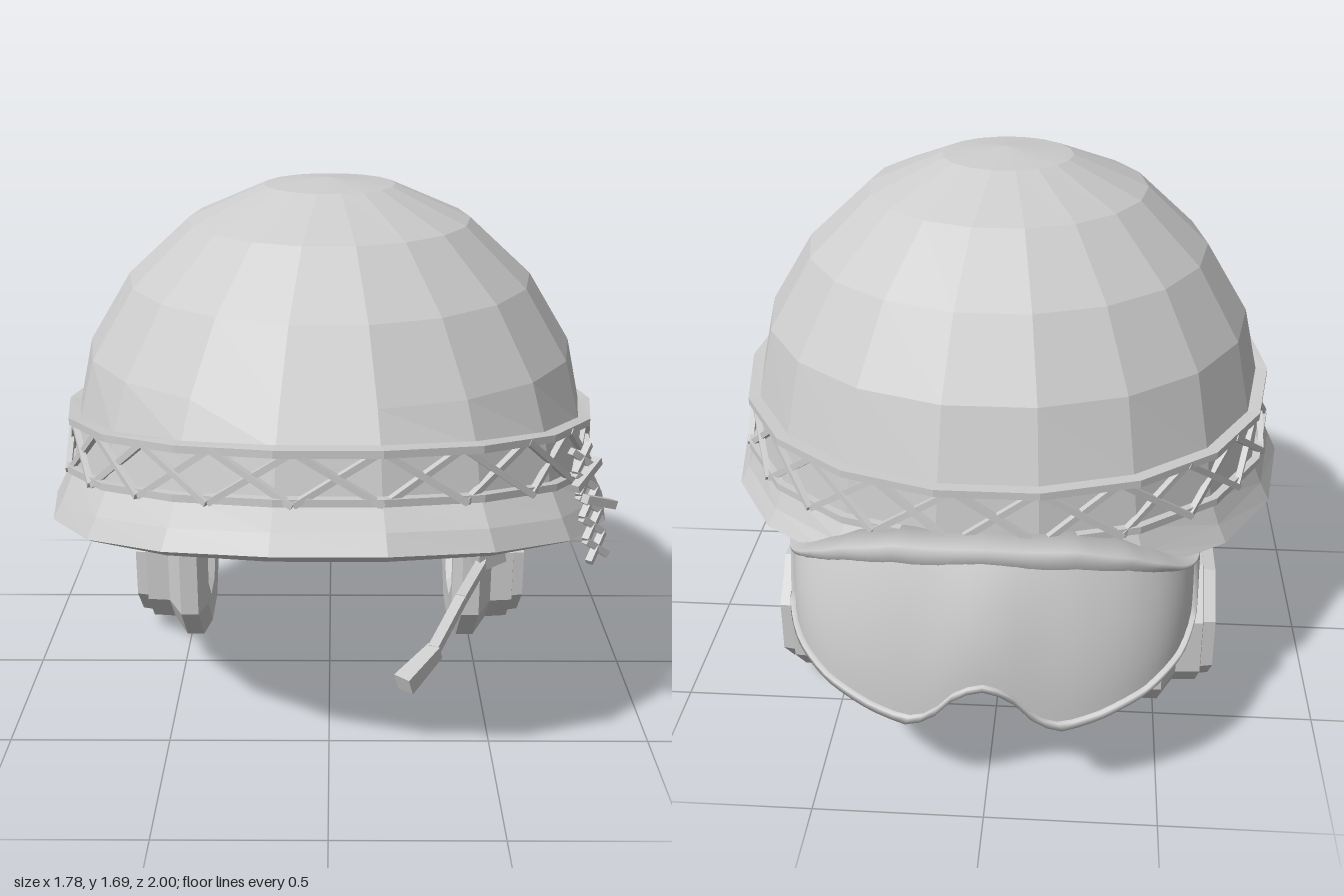
import * as THREE from 'three';

const grey = new THREE.MeshStandardMaterial({ color: 0xcccccc, side: THREE.DoubleSide });
const V = (x, y, z) => new THREE.Vector3(x, y, z);

function mesh(name, geometry, flat = true) {
  const g = flat && geometry.index ? geometry.toNonIndexed() : geometry;
  g.computeVertexNormals();
  const m = new THREE.Mesh(g, grey);
  m.name = name;
  return m;
}

function group(name, ...parts) {
  const g = new THREE.Group();
  g.name = name;
  if (parts.length) g.add(...parts);
  return g;
}

// Skin over cross-sections, optionally closed in either direction
function loft(rings, wrapI, wrapJ) {
  const n = rings.length, m = rings[0].length, index = [];
  for (let i = 0; i < (wrapI ? n : n - 1); i++) {
    for (let j = 0; j < (wrapJ ? m : m - 1); j++) {
      const i2 = (i + 1) % n, j2 = (j + 1) % m;
      const a = i * m + j, b = i2 * m + j, c = i2 * m + j2, d = i * m + j2;
      index.push(a, b, c, a, c, d);
    }
  }
  const g = new THREE.BufferGeometry().setFromPoints(rings.flat());
  g.setIndex(index);
  return g;
}

// Straight bar between two points, tapering from width w0 to w1
function bar(name, p, q, w0, h, w1 = w0) {
  const g = new THREE.BoxGeometry(1, 1, p.distanceTo(q));
  const pos = g.attributes.position;
  for (let i = 0; i < pos.count; i++) {
    const k = pos.getZ(i) < 0 ? 1 : w1 / w0;
    pos.setX(i, pos.getX(i) * w0 * k);
    pos.setY(i, pos.getY(i) * h * k);
  }
  const m = mesh(name, g);
  m.position.copy(p).add(q).multiplyScalar(0.5);
  m.lookAt(q);
  return m;
}

function box(name, w, h, d, x, y, z) {
  const m = mesh(name, new THREE.BoxGeometry(w, h, d));
  m.position.set(x, y, z);
  return m;
}

// Helmet rings: half width, front z, back z, then height at front, side and back
const SIDES = 18;
const bandTop = [0.8, 0.835, -0.775, 1.11, 0.97, 0.965];
const bandLow = [0.825, 0.865, -0.79, 0.98, 0.815, 0.82];
const shellRings = [
  [0, 0.04, 0.04, 1.69, 1.69, 1.69],
  [0.2, 0.22, -0.15, 1.67, 1.67, 1.67],
  [0.43, 0.47, -0.37, 1.57, 1.57, 1.57],
  [0.62, 0.65, -0.57, 1.395, 1.395, 1.395],
  [0.752, 0.775, -0.705, 1.2, 1.18, 1.18],
  bandTop, bandLow,
  [0.86, 0.96, -0.83, 0.93, 0.73, 0.76],
  [0.89, 1.0, -0.86, 0.88, 0.67, 0.72],
  [0.87, 0.965, -0.84, 0.85, 0.665, 0.71],
  [0.8, 0.84, -0.765, 0.96, 0.81, 0.81],
  [0.735, 0.76, -0.69, 1.17, 1.165, 1.165],
  [0.605, 0.635, -0.555, 1.375, 1.375, 1.375],
  [0.415, 0.455, -0.355, 1.545, 1.545, 1.545],
  [0, 0.04, 0.04, 1.67, 1.67, 1.67],
];

function ringPoint([rx, zF, zB, yF, yS, yB], i, out = 0, up = 0) {
  const a = (i + 0.5) / SIDES * Math.PI * 2, s = Math.sin(a), c = Math.cos(a);
  const rz = (zF - zB) / 2 / Math.cos(Math.PI / SIDES);
  return V((rx + out) * s,
    yS + c * (yF - yB) / 2 + c * c * ((yF + yB) / 2 - yS) + up,
    (zF + zB) / 2 + (rz + out) * c);
}

const around = fn => Array.from({ length: SIDES }, (_, i) => fn(i));

function helmet() {
  const rings = shellRings.map(r => around(i => ringPoint(r, i)));
  return mesh('helmetShell', loft(rings, false, true));
}

// Two cords joined by a lattice of crossed bars
function netBand() {
  const band = group('netBand'), crosses = 22, step = SIDES / crosses;
  for (const [name, r, w] of [['upperCord', bandTop, 0.035], ['lowerCord', bandLow, 0.022]]) {
    const rings = around(i => [[-0.01, -0.011], [w, -0.011], [w, 0.011], [-0.01, 0.011]]
      .map(([o, u]) => ringPoint(r, i, o, u)));
    band.add(mesh(name, loft(rings, true, true)));
  }
  for (let k = 0; k < crosses; k++) {
    const i = k * step, j = i + step;
    band.add(bar('latticeBar', ringPoint(bandLow, i, 0.01, -0.01), ringPoint(bandTop, j, 0.01), 0.018, 0.018));
    band.add(bar('latticeBar', ringPoint(bandLow, j, 0.016, -0.01), ringPoint(bandTop, i, 0.016), 0.018, 0.018));
  }
  return band;
}

// Loose crossed cord ends hanging from the band
function knot() {
  const g = group('hangingKnot');
  const at = (t, side) => V(0.72 + 0.06 * t + side * 0.03, 1.0 - 0.32 * t, 0.53 + 0.06 * t - side * 0.03);
  for (let i = 0; i < 5; i++) {
    for (const s of [-1, 1]) g.add(bar('knotCord', at(i / 5, s), at((i + 1) / 5, -s), 0.02, 0.02));
  }
  g.add(bar('knotLoop', V(0.78, 0.95, 0.5), V(0.7, 0.9, 0.6), 0.025, 0.025));
  g.add(bar('knotLoop', V(0.83, 0.82, 0.52), V(0.73, 0.87, 0.6), 0.025, 0.025));
  return g;
}

// Octagonal ear cup with its hanger; s is the side
function earCup(s) {
  const profile = [[0, 0.5], [0.1, 0.5], [0.15, 0.43], [0.235, 0.425], [0.282, 0.455], [0.282, 0.515],
    [0.235, 0.55], [0.222, 0.56], [0.218, 0.635], [0.2, 0.638], [0.195, 0.675], [0, 0.675]]
    .map(([r, h]) => new THREE.Vector2(r / Math.cos(Math.PI / 8), h));
  const cup = mesh('earCup', new THREE.LatheGeometry(profile, 8, Math.PI / 8)
    .rotateZ(-s * Math.PI / 2).translate(0, 0.285, -0.31));
  return group(s > 0 ? 'leftEarMuff' : 'rightEarMuff', cup,
    bar('hanger', V(s * 0.56, 0.5, -0.31), V(s * 0.54, 0.8, -0.31), 0.14, 0.06),
    box('hangerBuckle', 0.04, 0.15, 0.13, s * 0.58, 0.585, -0.31),
    box('buckleButton', 0.02, 0.09, 0.06, s * 0.6, 0.59, -0.31));
}

function microphone() {
  const path = [V(0.53, 0.39, -0.06), V(0.51, 0.365, 0.0), V(0.43, 0.34, 0.19), V(0.33, 0.265, 0.39)];
  const g = group('microphone', bar('boomPivot', V(0.57, 0.4, -0.09), V(0.49, 0.375, -0.02), 0.09, 0.09, 0.06));
  for (let i = 0; i < 3; i++) g.add(bar('boom', path[i], path[i + 1], 0.034, 0.034));
  g.add(bar('micTip', V(0.335, 0.26, 0.385), V(0.23, 0.205, 0.5), 0.045, 0.045, 0.06));
  return g;
}

// Goggles: a wrapped surface between an upper and a lower edge curve
const upper = [[0, 0.84], [0.25, 0.83], [0.4, 0.79], [0.5, 0.74], [0.6, 0.67]];
const lower = [[0, 0.45], [0.07, 0.43], [0.15, 0.335], [0.22, 0.31], [0.32, 0.335], [0.45, 0.385], [0.55, 0.45], [0.6, 0.52]];

function along(curve, x) {
  let i = 1;
  while (i < curve.length - 1 && curve[i][0] < x) i++;
  const [x0, y0] = curve[i - 1], [x1, y1] = curve[i];
  return y0 + (y1 - y0) * (x - x0) / (x1 - x0);
}

// k shrinks the wrap; depth pushes towards the face, most along the lower edge
function gogglePoint(u, v, k, depth = 0) {
  const t = u * 1.48, x = 0.6 * Math.sin(t), c = Math.sqrt(Math.cos(t));
  const y = THREE.MathUtils.lerp(along(lower, Math.abs(x)), along(upper, Math.abs(x)), v);
  return V(x * k, y, -0.42 - 0.57 * c * k + 0.11 * c * v * v + depth * c * (1 - 0.5 * v));
}

function goggles() {
  const N = 40, M = 8;
  const lens = Array.from({ length: N + 1 }, (_, i) => Array.from({ length: M + 1 },
    (_, j) => gogglePoint((i / N * 2 - 1) * 0.98, j / M, 0.99)));
  // Frame swept around the outline, with thicker padding along the brow
  const outline = [];
  for (let i = 0; i <= N; i++) outline.push([i / N * 2 - 1, 1]);
  for (let i = N; i >= 0; i--) outline.push([i / N * 2 - 1, 0]);
  const section = [[1, 1.015, 0, 0], [0.92, 1.012, 0, 0], [0.92, 0.97, 0, 0.12], [0.95, 0.9, 0.12, 0.15], [1, 0.9, 0.14, 0]];
  const frame = outline.map(([u, v]) => section.map(([f, k, depth, pad]) =>
    gogglePoint(u * (0.5 + f / 2), 0.5 + (v - 0.5) * f - v * pad * Math.cos(u * 1.48), k, depth)));
  const g = group('goggles', mesh('lens', loft(lens), false), mesh('frame', loft(frame, true, true), false));
  for (const s of [-1, 1]) {
    g.add(bar('strapClip', V(s * 0.595, 0.535, -0.51), V(s * 0.585, 0.605, -0.41), 0.02, 0.09));
    g.add(bar('goggleStrap', V(s * 0.58, 0.6, -0.42), V(s * 0.57, 0.62, -0.36), 0.02, 0.07));
    g.add(box('clipPin', 0.03, 0.03, 0.03, s * 0.6, 0.565, -0.48));
  }
  return g;
}

export function createModel() {
  return group('helmetWithHeadset', helmet(), netBand(), knot(),
    earCup(1), earCup(-1), microphone(), goggles());
}
